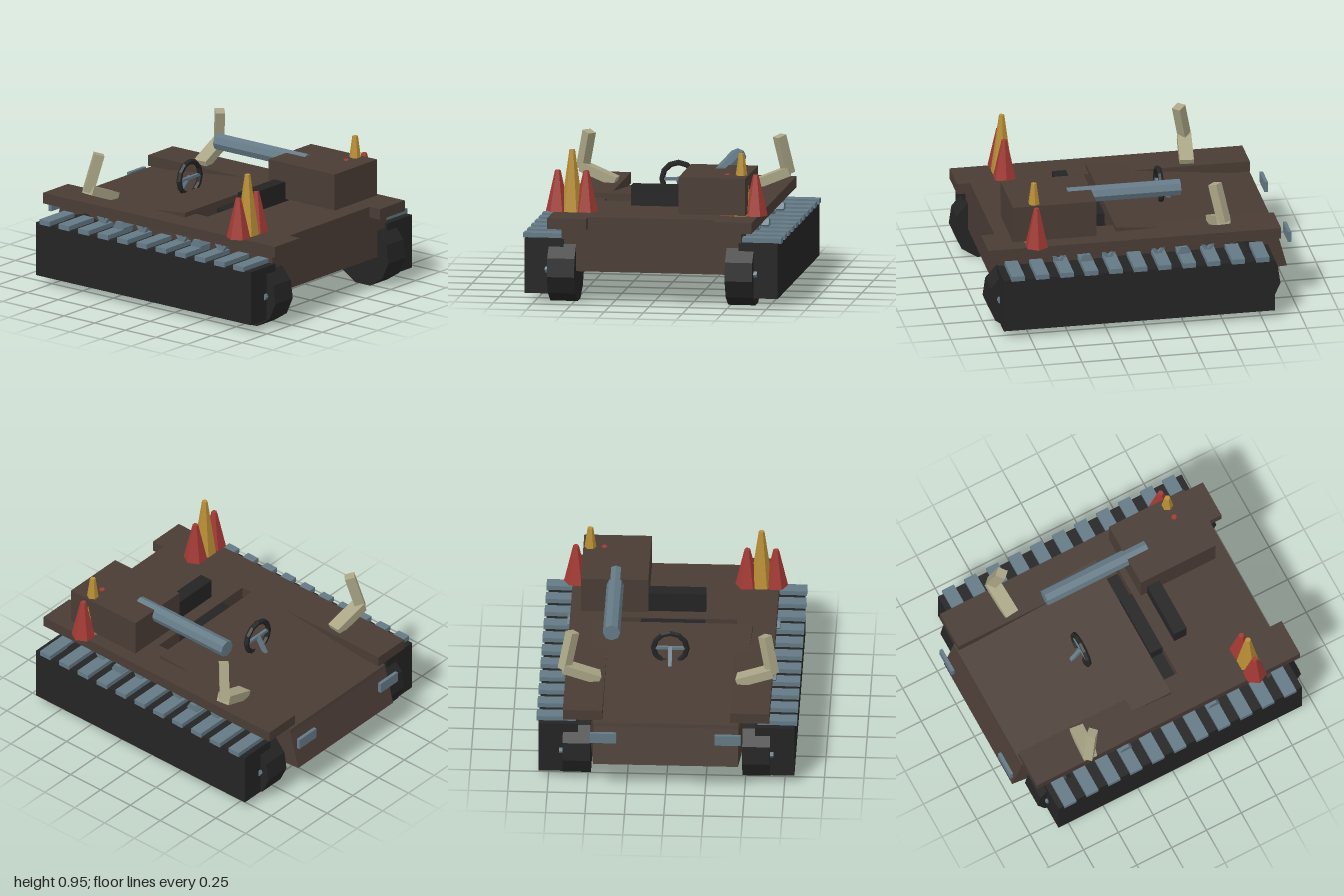
import * as THREE from 'three';

const mat = (name, color) => {
  const m = new THREE.MeshStandardMaterial({ color, flatShading: true });
  m.name = name;
  return m;
};

export function createModel() {
  const root = new THREE.Group();
  root.name = 'trackedVehicle';
  const brown = mat('brownPaint', 0x4a3c35);
  const black = mat('blackRubber', 0x242424);
  const steel = mat('steel', 0x647a86);
  const red = mat('redSpike', 0xa33a34);
  const yellow = mat('yellowSpike', 0xbb9035);
  const bone = mat('bone', 0xaaa586);

  const add = (name, geo, material, x = 0, y = 0, z = 0) => {
    const m = new THREE.Mesh(geo, material);
    m.name = name;
    m.position.set(x, y, z);
    root.add(m);
    return m;
  };
  // Box given by its minimum and maximum on each axis
  const block = (name, material, x0, x1, y0, y1, z0, z1) =>
    add(name, new THREE.BoxGeometry(x1 - x0, y1 - y0, z1 - z0), material,
      (x0 + x1) / 2, (y0 + y1) / 2, (z0 + z1) / 2);
  // Tapered solid: each end has half width w, top [y, z] and bottom [y, z]
  const taper = (name, material, front, back) => {
    const g = new THREE.BoxGeometry(2, 2, 2);
    const p = g.attributes.position;
    for (let i = 0; i < p.count; i++) {
      const end = p.getZ(i) > 0 ? front : back;
      const [y, z] = p.getY(i) > 0 ? end.top : end.bottom;
      p.setXYZ(i, Math.sign(p.getX(i)) * end.w, y, z);
    }
    g.computeVertexNormals();
    return add(name, g, material);
  };
  // Beam with a square section between two points
  const beam = (name, material, a, b, w, h) => {
    const A = new THREE.Vector3(...a), B = new THREE.Vector3(...b);
    const m = add(name, new THREE.BoxGeometry(w, h, A.distanceTo(B)), material);
    m.position.copy(A).add(B).multiplyScalar(0.5);
    m.lookAt(B);
    return m;
  };
  const rodX = (name, material, r, len, sides, x, y, z) => {
    const g = new THREE.CylinderGeometry(r, r, len, sides);
    g.rotateZ(Math.PI / 2);
    return add(name, g, material, x, y, z);
  };

  // Hull
  block('frontHull', brown, -0.575, 0.575, 0.21, 0.49, 0.24, 0.905);
  taper('rearHull', brown,
    { w: 0.575, top: [0.45, 0.24], bottom: [0.21, 0.24] },
    { w: 0.46, top: [0.45, -0.91], bottom: [0.21, -0.975] });
  taper('slopingRearDeck', brown,
    { w: 0.51, top: [0.59, 0.14], bottom: [0.45, 0.14] },
    { w: 0.46, top: [0.475, -0.905], bottom: [0.45, -0.91] });
  block('footwellFloor', black, -0.4, 0.4, 0.45, 0.458, 0.14, 0.24);

  // Deck with a front notch and a central rear opening
  const outline = [
    [-0.655, -0.9], [-0.405, -0.9], [-0.405, 0.24], [0.405, 0.24], [0.405, -0.9], [0.655, -0.9],
    [0.655, 0.99], [0.405, 0.99], [0.405, 0.905], [-0.405, 0.905], [-0.405, 0.99], [-0.655, 0.99],
  ].map(([x, z]) => new THREE.Vector2(x, z));
  const deck = new THREE.ExtrudeGeometry(new THREE.Shape(outline), { depth: 0.07, bevelEnabled: false });
  deck.rotateX(Math.PI / 2);
  add('deck', deck, brown, 0, 0.56, 0);

  // Running gear and horns, mirrored
  for (const s of [-1, 1]) {
    const side = s > 0 ? 'left' : 'right';
    add(side + 'Track', new THREE.BoxGeometry(0.25, 0.35, 1.75), black, s * 0.687, 0.24, 0.045);
    for (let i = 0; i < 11; i++)
      add(side + 'TrackPad', new THREE.BoxGeometry(0.25, 0.033, 0.085), steel, s * 0.702, 0.428, -0.75 + i * 0.158);
    for (const z of [0.785, -0.685]) {
      const wheel = rodX(side + 'Wheel', black, 0.212, 0.175, 11, s * 0.57, 0.212, z);
      wheel.rotation.x = Math.PI / 2 + Math.PI;
    }
    for (const z of [0.915, -0.825])
      rodX(side + 'AxleStub', steel, 0.022, 0.1, 6, s * 0.63, 0.22, z);
    for (const z of [0.36, -0.27])
      rodX(side + 'ReturnRoller', steel, 0.042, 0.11, 6, s * 0.62, 0.455, z);
    for (const z of [0.53, 0.21, -0.11, -0.43])
      for (const d of [-1, 1])
        beam(side + 'SpringStrut', steel, [s * 0.623, 0.43, z], [s * 0.623, 0.5, z + d * 0.045], 0.03, 0.02);
    beam(side + 'HornBase', bone, [s * 0.44, 0.565, -0.5], [s * 0.665, 0.655, -0.525], 0.09, 0.06);
    beam(side + 'HornTip', bone, [s * 0.66, 0.64, -0.53], [s * 0.61, 0.885, -0.48], 0.06, 0.065);
    add(side + 'RearLamp', new THREE.BoxGeometry(0.165, 0.07, 0.022), steel, s * 0.395, 0.415, -0.988);

    // Spikes
    for (const [x, r, h, m, n] of [
      [0.635, 0.076, 0.26, red, 'RedSpike'],
      [0.543, 0.073, 0.395, yellow, 'YellowSpike'],
      [0.453, 0.076, 0.26, red, 'RedSpike']]) {
      const g = new THREE.CylinderGeometry(0.018, r, h, 6);
      g.rotateY(Math.PI / 6);
      add(side + n, g, m, s * x, 0.56 + h / 2, 0.675);
    }
  }

  // Engine box and exhaust pipe
  block('engineBox', brown, 0.16, 0.588, 0.577, 0.815, 0.28, 0.818);
  const pipe = new THREE.CylinderGeometry(0.055, 0.055, 0.73, 8);
  pipe.rotateX(Math.PI / 2);
  add('exhaustPipe', pipe, steel, 0.37, 0.773, 0.065);

  // Seat
  block('seatCushion', black, -0.205, 0.205, 0.45, 0.555, 0.155, 0.24);
  block('seatBack', black, -0.205, 0.205, 0.56, 0.69, 0.325, 0.415);

  // Steering wheel and column
  add('steeringWheel', new THREE.TorusGeometry(0.106, 0.018, 6, 12), black, 0, 0.632, -0.235);
  beam('steeringColumn', steel, [0, 0.64, -0.235], [0, 0.53, -0.305], 0.024, 0.024);
  beam('steeringSpoke', steel, [-0.1, 0.632, -0.235], [0.1, 0.632, -0.235], 0.018, 0.018);

  return root;
}
